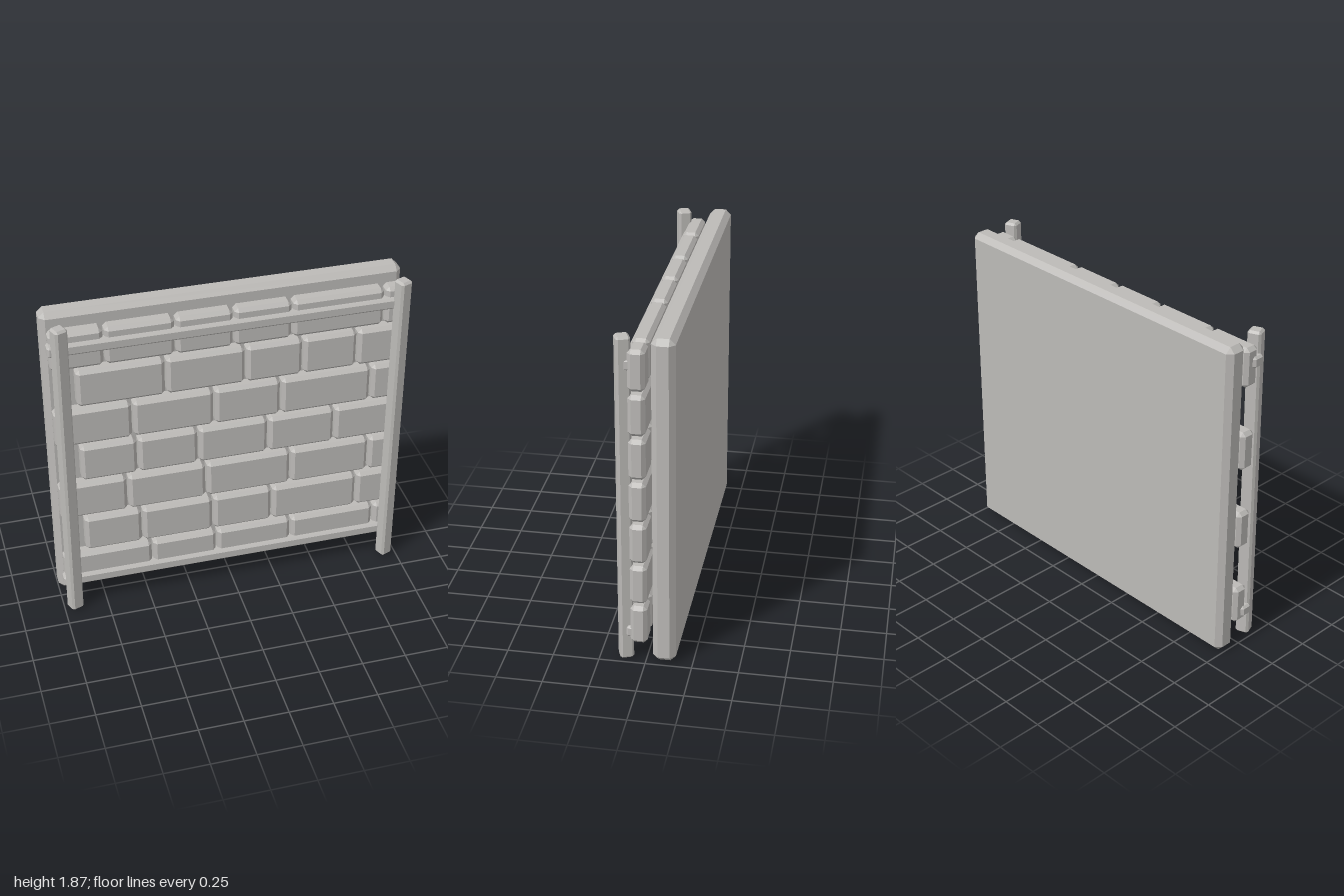
import * as THREE from 'three';
import { ConvexGeometry } from 'three/addons/geometries/ConvexGeometry.js';

const stone = new THREE.MeshStandardMaterial({ color: 0xbcbab7 });
stone.name = 'stone grey';

// Box with every edge cut at 45 degrees
function chamferBox(w, h, d, c) {
  const points = [];
  for (const sx of [-1, 1]) for (const sy of [-1, 1]) for (const sz of [-1, 1]) {
    const x = w / 2, y = h / 2, z = d / 2;
    points.push(
      new THREE.Vector3(sx * x, sy * (y - c), sz * (z - c)),
      new THREE.Vector3(sx * (x - c), sy * y, sz * (z - c)),
      new THREE.Vector3(sx * (x - c), sy * (y - c), sz * z)
    );
  }
  return new ConvexGeometry(points);
}

// Chamfered block given by its limits on each axis
function block(name, [x0, x1], [y0, y1], [z0, z1], c) {
  const mesh = new THREE.Mesh(chamferBox(x1 - x0, y1 - y0, z1 - z0, c), stone);
  mesh.position.set((x0 + x1) / 2, (y0 + y1) / 2, (z0 + z1) / 2);
  mesh.name = name;
  return mesh;
}

export function createModel() {
  const model = new THREE.Group();
  model.name = 'brickWallPanel';

  // Backing slab
  model.add(block('backSlab', [-1, 0.99], [0.01, 1.87], [-0.16, -0.037], 0.03));

  // Brick courses from the bottom up: x of the joints between bricks
  const courses = [
    [-0.463, -0.083, 0.361, 0.865],
    [-0.517, -0.105, 0.244, 0.752],
    [-0.592, -0.142, 0.35, 0.815],
    [-0.528, -0.185, 0.215, 0.602],
    [-0.549, -0.094, 0.285, 0.805],
    [-0.36, 0.083, 0.405, 0.715],
    [-0.685, -0.303, 0.016, 0.34, 0.86]
  ];
  const gap = 0.005;
  const bricks = new THREE.Group();
  bricks.name = 'bricks';
  courses.forEach((joints, row) => {
    const y = 0.118 + row * 0.2445;
    const start = row % 2 ? -0.845 : -0.976;
    const edges = [start - gap, ...joints, 0.995 + gap];
    for (let i = 0; i < edges.length - 1; i++) {
      bricks.add(block('brick', [edges[i] + gap, edges[i + 1] - gap],
        [y, y + 0.225], [-0.01, 0.08], 0.02));
    }
  });
  model.add(bricks);

  // Horizontal rails
  for (const [name, y] of [['bottomRail', 0.146], ['topRail', 1.69]]) {
    model.add(block(name, [-0.99, 0.98], [y, y + 0.065], [0.035, 0.105], 0.012));
  }

  // Twisted, slightly leaning posts
  for (const [name, x] of [['rightPost', -0.931], ['leftPost', 0.939]]) {
    const post = new THREE.Mesh(chamferBox(0.075, 1.87, 0.075, 0.012), stone);
    post.name = name;
    post.rotation.set(-0.002, 0.38, -0.006, 'ZXY');
    post.position.set(x, 0.936, 0.111);
    model.add(post);
  }

  return model;
}
